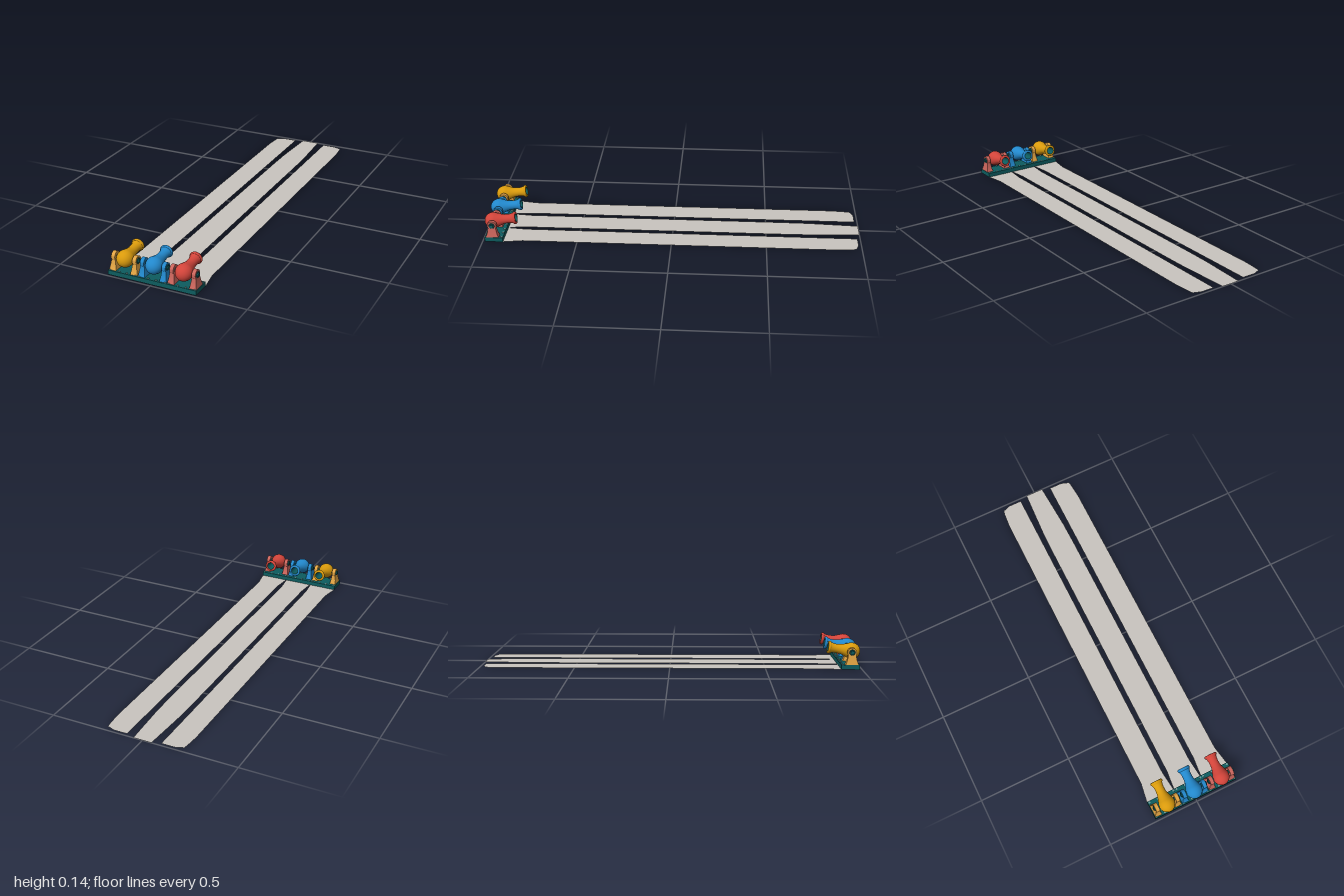
import * as THREE from 'three';
import { toCreasedNormals } from 'three/addons/utils/BufferGeometryUtils.js';

function mat(name, color, side = THREE.FrontSide) {
  const m = new THREE.MeshStandardMaterial({ color, side });
  m.name = name;
  return m;
}

function add(parent, name, geometry, material, x = 0, y = 0, z = 0) {
  const mesh = new THREE.Mesh(geometry, material);
  mesh.name = name;
  mesh.position.set(x, y, z);
  parent.add(mesh);
}

const lathe = pts => new THREE.LatheGeometry(pts.map(p => new THREE.Vector2(...p)), 32);

// Flat outline on the x/z plane
function flat(points) {
  const shape = new THREE.Shape(points.map(([x, z]) => new THREE.Vector2(x, -z)));
  return new THREE.ShapeGeometry(shape).rotateX(-Math.PI / 2);
}

// Bracket foot: a box that flares out toward the base in a smooth curve
function bracketGeometry(height) {
  const g = new THREE.BoxGeometry(2, height, 2, 1, 8, 1).translate(0, height / 2, 0);
  const p = g.attributes.position;
  for (let i = 0; i < p.count; i++) {
    const t = THREE.MathUtils.clamp(1 - p.getY(i) / height, 0, 1);
    p.setX(i, p.getX(i) * (0.01 + 0.0085 * Math.pow(t, 1.4)));
    p.setZ(i, p.getZ(i) * (0.02 + 0.014 * t * t));
  }
  return toCreasedNormals(g, 0.6);
}

// Hollow tray wall
function wallGeometry(w, d, h, t) {
  const corners = (a, b) => [[-a, -b], [a, -b], [a, b], [-a, b]].map(p => new THREE.Vector2(...p));
  const shape = new THREE.Shape(corners(w / 2, d / 2));
  shape.holes.push(new THREE.Path(corners(w / 2 - t, d / 2 - t).reverse()));
  return new THREE.ExtrudeGeometry(shape, { depth: h, bevelEnabled: false }).rotateX(-Math.PI / 2);
}

export function createModel() {
  const root = new THREE.Group();
  root.name = 'cannonLanes';

  const teal = mat('dark teal', 0x0d5c5f);
  const boltMat = mat('bolt grey teal', 0x6f9a9a);
  const laneMat = mat('lane grey', 0xc9c5bf, THREE.DoubleSide);
  const blue = mat('blue', 0x2288cc);
  const sets = [
    { name: 'yellow', x: -0.157, body: mat('yellow', 0xd99a0c), leg: mat('light orange', 0xe2a443) },
    { name: 'blue', x: 0, body: blue, leg: blue },
    { name: 'red', x: 0.157, body: mat('red', 0xd2443a), leg: mat('soft red', 0xcb655c) },
  ];

  const W = 0.1575, D = 0.096, H = 0.024, baseZ = 0.94, pivotY = 0.088, pivotZ = 0.948;
  const wall = wallGeometry(W, D, H - 0.006, 0.006);
  const plate = new THREE.BoxGeometry(W, 0.006, D);
  const rib = new THREE.BoxGeometry(0.004, 0.012, D - 0.012);
  const bolt = new THREE.CylinderGeometry(0.006, 0.006, 0.004, 6);
  const foot = bracketGeometry(pivotY - H);
  const eye = toCreasedNormals(new THREE.CylinderGeometry(0.0242, 0.0242, 0.02, 28).rotateZ(Math.PI / 2), 0.6);
  const collar = new THREE.TorusGeometry(0.0125, 0.003, 8, 24).rotateY(Math.PI / 2);
  const axle = new THREE.CylinderGeometry(0.009, 0.009, 0.15, 20).rotateZ(Math.PI / 2);

  // Barrel: round breech, narrow neck, flared mouth
  const breech = [[0, -0.05]];
  for (let i = 1; i <= 12; i++) {
    const a = -Math.PI / 2 + i / 12 * Math.PI * 0.68;
    breech.push([0.043 * Math.cos(a), 0.045 * Math.sin(a) - 0.005]);
  }
  const barrel = lathe([...breech, [0.0315, 0.034], [0.027, 0.046], [0.0245, 0.06],
    [0.0238, 0.075], [0.0245, 0.09], [0.028, 0.104], [0.031, 0.109]]);
  const lip = lathe([[0.028, 0.106], [0.0315, 0.107], [0.0335, 0.111], [0.0335, 0.116],
    [0.0315, 0.12], [0.028, 0.121], [0.021, 0.121]]);
  const bore = lathe([[0.021, 0.121], [0.019, 0.112], [0.018, 0.07], [0, 0.07]]);

  for (const s of sets) {
    const unit = new THREE.Group();
    unit.name = s.name + 'Cannon';
    unit.position.x = s.x;
    root.add(unit);

    // Hollow base with ribs and bolts
    add(unit, 'baseWall', wall, teal, 0, 0, baseZ);
    add(unit, 'basePlate', plate, teal, 0, H - 0.003, baseZ);
    for (const x of [-0.04, 0, 0.04]) add(unit, 'baseRib', rib, teal, x, H - 0.012, baseZ);
    for (const x of [-0.07, -0.021, 0.021, 0.07])
      for (const dz of [-0.04, 0.04]) add(unit, 'bolt', bolt, boltMat, x, H + 0.001, baseZ + dz);

    // Pair of brackets carrying the axle
    add(unit, 'axle', axle, teal, 0, pivotY, pivotZ);
    for (const side of [-1, 1]) {
      add(unit, 'bracketFoot', foot, s.leg, side * 0.0575, H, pivotZ);
      add(unit, 'bracketEye', eye, s.leg, side * 0.0575, pivotY, pivotZ);
      add(unit, 'axleCollar', collar, teal, side * 0.0675, pivotY, pivotZ);
    }

    // Tilted barrel, mouth toward the back
    const gun = new THREE.Group();
    gun.name = 'barrelAssembly';
    gun.position.set(0, pivotY, pivotZ);
    gun.rotation.x = -THREE.MathUtils.degToRad(81.5);
    unit.add(gun);
    add(gun, 'barrel', barrel, s.body);
    add(gun, 'muzzleLip', lip, s.body);
    add(gun, 'bore', bore, teal);
  }

  // Long flat lanes on the ground
  const sideLane = [[0.08, 0.893], [0.091, 0.79], [0.093, -0.985], [0.165, -0.985], [0.207, -0.97],
    [0.211, -0.95], [0.218, -0.87], [0.218, 0.79], [0.236, 0.893]];
  const midHalf = [[0.078, 0.893], [0.067, 0.79], [0.066, -0.6], [0.064, -0.74], [0.055, -0.9], [0.049, -1]];
  const mirror = pts => pts.map(([x, z]) => [-x, z]).reverse();
  add(root, 'leftLane', flat(sideLane), laneMat, 0, 0.001, 0);
  add(root, 'rightLane', flat(mirror(sideLane)), laneMat, 0, 0.001, 0);
  add(root, 'middleLane', flat([...midHalf, ...mirror(midHalf)]), laneMat, 0, 0.001, 0);

  return root;
}
